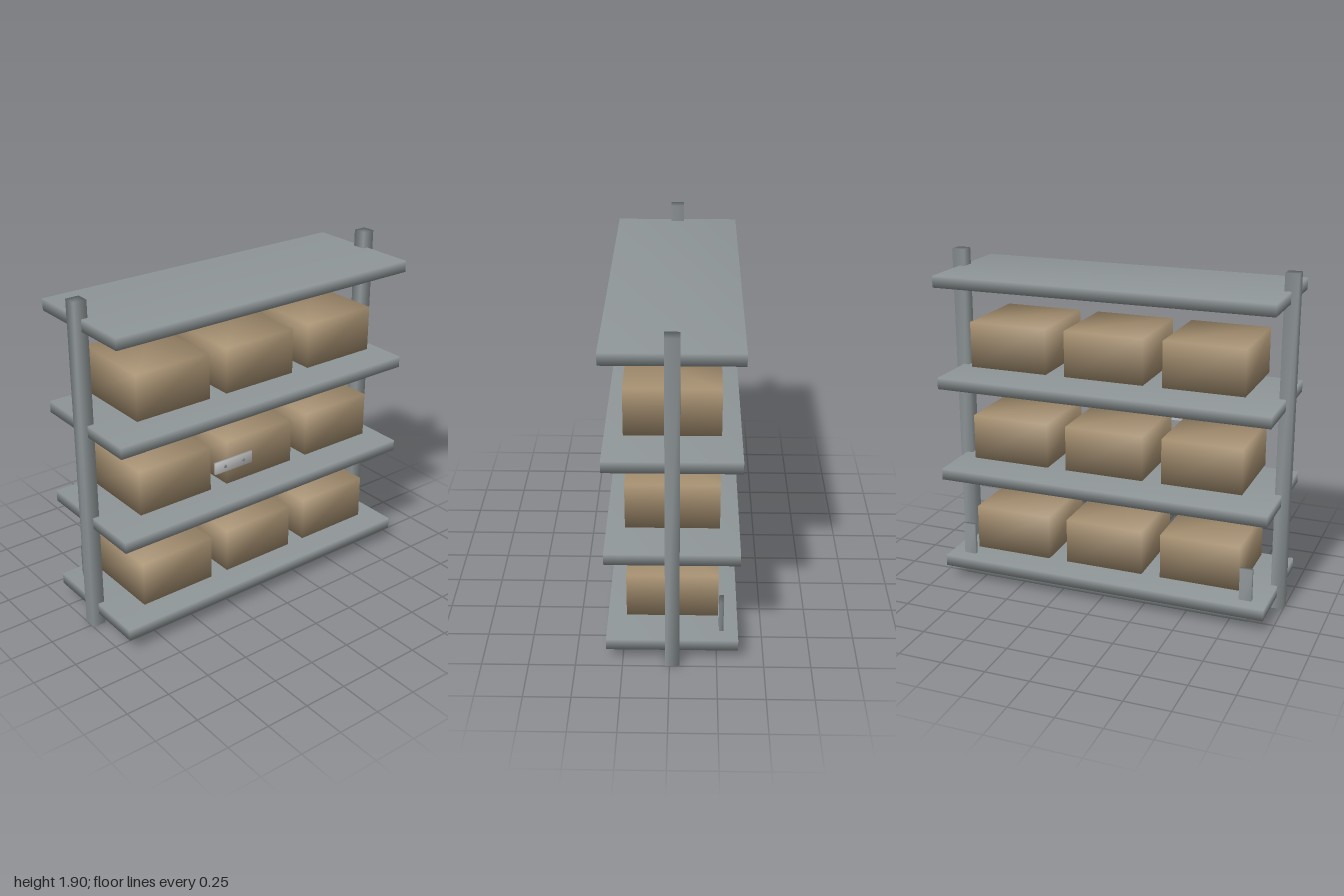
import * as THREE from 'three';
import { mergeVertices } from 'three/addons/utils/BufferGeometryUtils.js';

const grey = new THREE.MeshStandardMaterial({ color: 0xcccccc });
const metal = new THREE.MeshStandardMaterial({ color: 0x8f9698 });
const cardboard = new THREE.MeshStandardMaterial({ color: 0xa58f70 });

// Box between two corners, with normals shared across its edges for soft shading
function softBox(name, [x0, x1], [y0, y1], [z0, z1], material) {
  let geometry = new THREE.BoxGeometry(x1 - x0, y1 - y0, z1 - z0);
  geometry.deleteAttribute('normal');
  geometry.deleteAttribute('uv');
  geometry = mergeVertices(geometry);
  geometry.computeVertexNormals();
  const mesh = new THREE.Mesh(geometry, material);
  mesh.name = name;
  mesh.position.set((x0 + x1) / 2, (y0 + y1) / 2, (z0 + z1) / 2);
  return mesh;
}

export function createModel() {
  const model = new THREE.Group();
  model.name = 'shelvingRack';

  // Uprights and rear brackets, mirrored left and right
  for (const [side, label] of [[1, 'left'], [-1, 'right']]) {
    const span = (a, b) => (side > 0 ? [a, b] : [-b, -a]);
    model.add(softBox(label + 'Post', span(0.925, 1), [0, 1.905], [-0.052, 0.023], metal));
    model.add(softBox(label + 'RearBracket', span(0.805, 0.875), [0.053, 0.325], [-0.286, -0.262], metal));
  }

  // Shelves, with three cartons above each of the lower three
  const shelfBottoms = [0.075, 0.62, 1.165, 1.745];
  const cartonBottoms = [0.178, 0.74, 1.285];
  shelfBottoms.forEach((y, i) => {
    model.add(softBox('shelf' + (i + 1), [-0.962, 0.958], [y, y + 0.065], [-0.363, 0.337], metal));
  });
  cartonBottoms.forEach((y, row) => {
    [-0.567, -0.002, 0.565].forEach((x, column) => {
      model.add(softBox(`carton${row + 1}_${column + 1}`,
        [x - 0.228, x + 0.228], [y, y + 0.258], [-0.258, 0.233], cardboard));
    });
  });

  // Rail under the rear edge of the bottom shelf
  model.add(softBox('rearRail', [-0.862, 0.858], [0.023, 0.075], [-0.302, -0.216], metal));

  // Small label plate with two screws
  const plate = new THREE.Group();
  plate.name = 'frontPlate';
  plate.add(softBox('plate', [-0.397, -0.15], [0.902, 0.968], [0.341, 0.356], grey));
  for (const x of [-0.334, -0.213]) {
    const screw = new THREE.Mesh(new THREE.CylinderGeometry(0.009, 0.009, 0.012, 12), metal);
    screw.name = 'screw';
    screw.rotation.x = Math.PI / 2;
    screw.position.set(x, 0.936, 0.357);
    plate.add(screw);
  }
  model.add(plate);

  return model;
}
